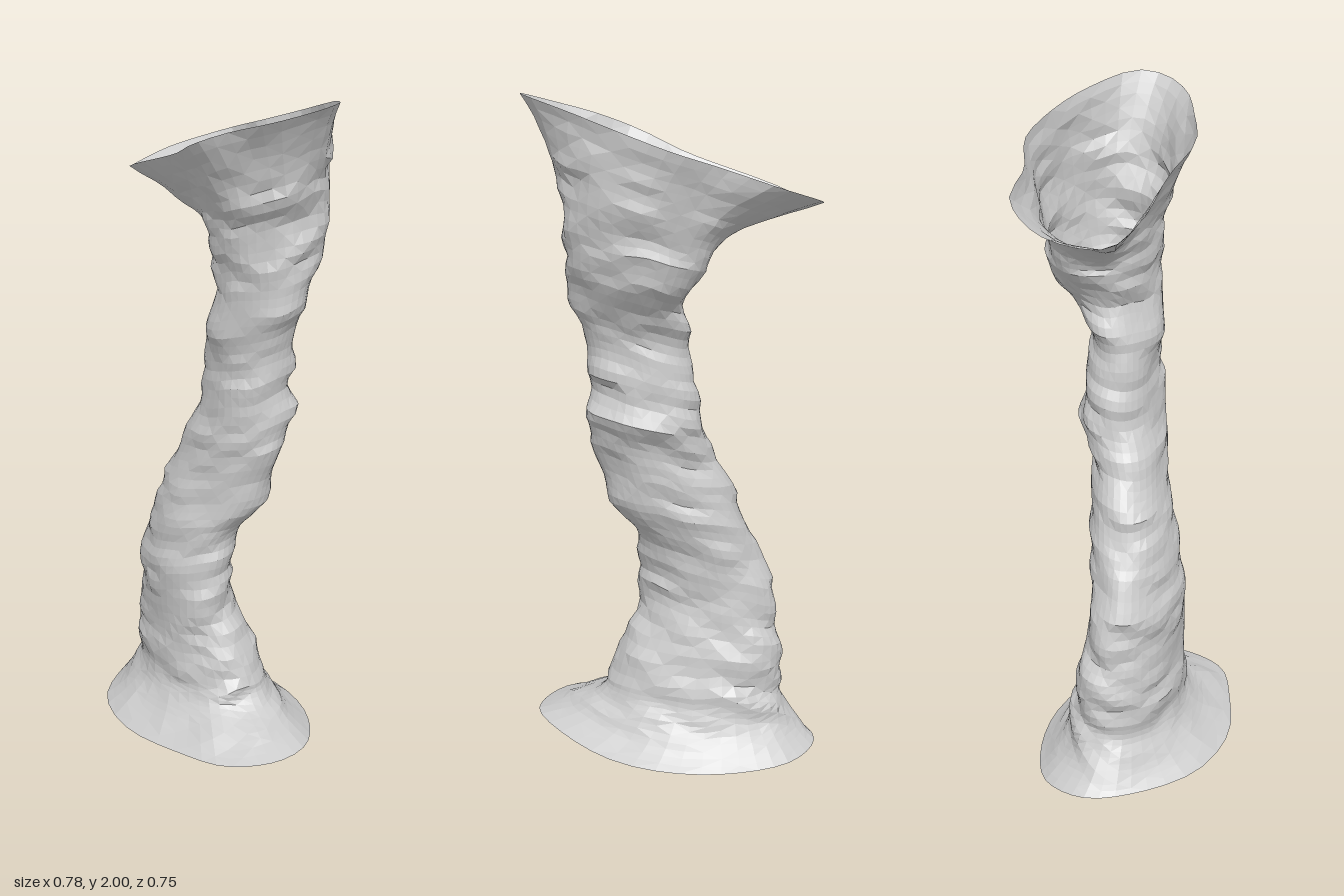
import * as THREE from 'three';

const SIDES = 40, BODY = 50, FLARE = 12;
const lerp = THREE.MathUtils.lerp, smoothstep = THREE.MathUtils.smoothstep;
const angleAt = (i) => (i / SIDES) * Math.PI * 2;
// Turns each section into an oval stretched along the x = z diagonal
const skewAt = (y) => lerp(0.52, 0.33, smoothstep(y, 0.4, 1));

// Seedless lattice hash and smooth value noise, range -1..1
function hash(i, j, k) {
  const s = Math.sin(i * 127.1 + j * 311.7 + k * 74.7) * 43758.5453;
  return (s - Math.floor(s)) * 2 - 1;
}
function noise(x, y, z) {
  const i = Math.floor(x), j = Math.floor(y), k = Math.floor(z);
  const f = (t) => t * t * (3 - 2 * t);
  const u = f(x - i), v = f(y - j), w = f(z - k);
  const row = (b, c) => lerp(hash(i, b, c), hash(i + 1, b, c), u);
  const layer = (c) => lerp(row(j, c), row(j + 1, c), v);
  return lerp(layer(k), layer(k + 1), w);
}

// Trunk sections: y, left x, right x, back z, front z
const sections = [
  [0.16, -0.305, 0.185, -0.22, 0.20], [0.30, -0.30, 0.115, -0.20, 0.17],
  [0.40, -0.30, 0.055, -0.19, 0.165], [0.55, -0.285, 0.045, -0.17, 0.16],
  [0.65, -0.25, 0.06, -0.155, 0.145], [0.80, -0.19, 0.16, -0.13, 0.14],
  [0.90, -0.13, 0.195, -0.11, 0.145], [1.00, -0.08, 0.23, -0.11, 0.155],
  [1.07, -0.06, 0.25, -0.12, 0.14], [1.20, -0.06, 0.23, -0.11, 0.145],
  [1.30, -0.04, 0.25, -0.10, 0.15], [1.40, -0.012, 0.28, -0.11, 0.15],
  [1.48, -0.03, 0.29, -0.19, 0.145], [1.56, -0.075, 0.305, -0.23, 0.16],
  [1.64, -0.13, 0.315, -0.26, 0.17],
];
function sectionAt(y) {
  let i = 0;
  while (i < sections.length - 2 && y > sections[i + 1][0]) i++;
  const a = sections[i], b = sections[i + 1];
  const t = THREE.MathUtils.clamp((y - a[0]) / (b[0] - a[0]), 0, 1);
  const [, l, r, k, f] = a.map((v, n) => lerp(v, b[n], t));
  return { cx: (l + r) / 2, cz: (k + f) / 2, rx: (r - l) / 2, rz: (f - k) / 2 };
}

// Point of the trunk wall; its rings lean up towards +x
function trunkPoint(y, angle) {
  const c = Math.cos(angle), s = Math.sin(angle + skewAt(y));
  const yy = y + 0.048 * smoothstep(y, 0.18, 0.5) * c;
  const e = sectionAt(yy);
  return new THREE.Vector3(e.cx + e.rx * c, yy, e.cz + e.rz * s);
}

// Irregular rim sampled in the same directions as the trunk rings
function rimPoints(list, cx, cz) {
  const curve = new THREE.CatmullRomCurve3(list.map((p) => new THREE.Vector3(...p)), true);
  const fine = curve.getPoints(800), skew = skewAt(list[0][1]);
  return Array.from({ length: SIDES }, (_, i) => {
    const c = Math.cos(angleAt(i)), s = Math.sin(angleAt(i) + skew);
    const fit = (p) => ((p.x - cx) * c + (p.z - cz) * s) / Math.hypot(p.x - cx, p.z - cz);
    return fine.reduce((best, p) => (fit(p) > fit(best) ? p : best));
  });
}
const topRim = rimPoints([
  [0.39, 2.0, 0.15], [0.35, 1.99, 0.22], [0.25, 1.96, 0.255], [0.12, 1.92, 0.235],
  [0, 1.87, 0.2], [-0.1, 1.81, 0.09], [-0.29, 1.73, -0.06], [-0.36, 1.69, -0.18],
  [-0.3, 1.72, -0.33], [-0.13, 1.78, -0.375], [0, 1.83, -0.3], [0.14, 1.88, -0.26],
  [0.25, 1.93, -0.15], [0.33, 1.97, -0.02],
], 0.02, -0.07);
const baseRim = rimPoints([
  [0.35, 0.07, 0.2], [0.3, 0.065, 0.3], [0.17, 0.06, 0.372], [0, 0.05, 0.34],
  [-0.2, 0.04, 0.26], [-0.35, 0.03, 0.1], [-0.39, 0.02, -0.1], [-0.37, 0.02, -0.25],
  [-0.24, 0.01, -0.33], [-0.05, 0.002, -0.3], [0.14, 0.008, -0.2], [0.27, 0.025, -0.05],
], -0.02, 0.02);

// Wrinkled rock: slanted ridges plus fine lumps, pushed outwards
function roughen(p, angle, amount) {
  const c = Math.cos(angle), s = Math.sin(angle + skewAt(p.y)), h = p.y - 0.35 * p.x + 0.1 * p.z;
  const d = 0.016 * noise(p.x * 4 + 9, h * 15, p.z * 4 + 5)
    + 0.014 * noise(p.x * 10, h * 24 + 3, p.z * 10 + 7);
  p.x += c * d * amount;
  p.z += s * d * amount;
  p.y += 0.01 * amount * noise(p.x * 12 + 31, p.y * 8, p.z * 12);
  return p;
}

// Flare from the trunk end (s = 0) out to a rim (s = 1)
function flarePoint(y, rim, i, s) {
  const p = trunkPoint(y, angleAt(i)), q = rim[i], t = Math.pow(s, 2);
  p.set(lerp(p.x, q.x, t), lerp(p.y, q.y, s), lerp(p.z, q.z, t));
  return roughen(p, angleAt(i), 1 - Math.pow(s, 6));
}

export function createModel() {
  const y0 = 0.2, y1 = 1.56;
  const rows = [];
  const ring = (fn) => rows.push(Array.from({ length: SIDES }, (_, i) => fn(i)));
  for (let j = FLARE; j > 0; j--) ring((i) => flarePoint(y0, baseRim, i, j / FLARE));
  for (let j = 0; j <= BODY; j++) {
    ring((i) => roughen(trunkPoint(lerp(y0, y1, j / BODY), angleAt(i)), angleAt(i), 1));
  }
  for (let j = 1; j <= FLARE; j++) ring((i) => flarePoint(y1, topRim, i, j / FLARE));

  // Skin the rings into one hollow tube, open at both ends
  const positions = [], index = [];
  rows.forEach((row) => row.forEach((p) => positions.push(p.x, p.y, p.z)));
  for (let j = 0; j < rows.length - 1; j++) {
    for (let i = 0; i < SIDES; i++) {
      const n = (i + 1) % SIDES;
      const a = j * SIDES + i, b = j * SIDES + n, c = a + SIDES, d = b + SIDES;
      if ((i + j) % 2) index.push(a, c, b, b, c, d);
      else index.push(a, c, d, a, d, b);
    }
  }
  const geometry = new THREE.BufferGeometry();
  geometry.setAttribute('position', new THREE.Float32BufferAttribute(positions, 3));
  geometry.setIndex(index);
  geometry.computeVertexNormals();

  const column = new THREE.Mesh(geometry, new THREE.MeshStandardMaterial({
    color: 0xcccccc, flatShading: true, side: THREE.DoubleSide,
  }));
  column.name = 'rockColumn';
  const group = new THREE.Group();
  group.name = 'hollowRockColumn';
  group.add(column);
  return group;
}
